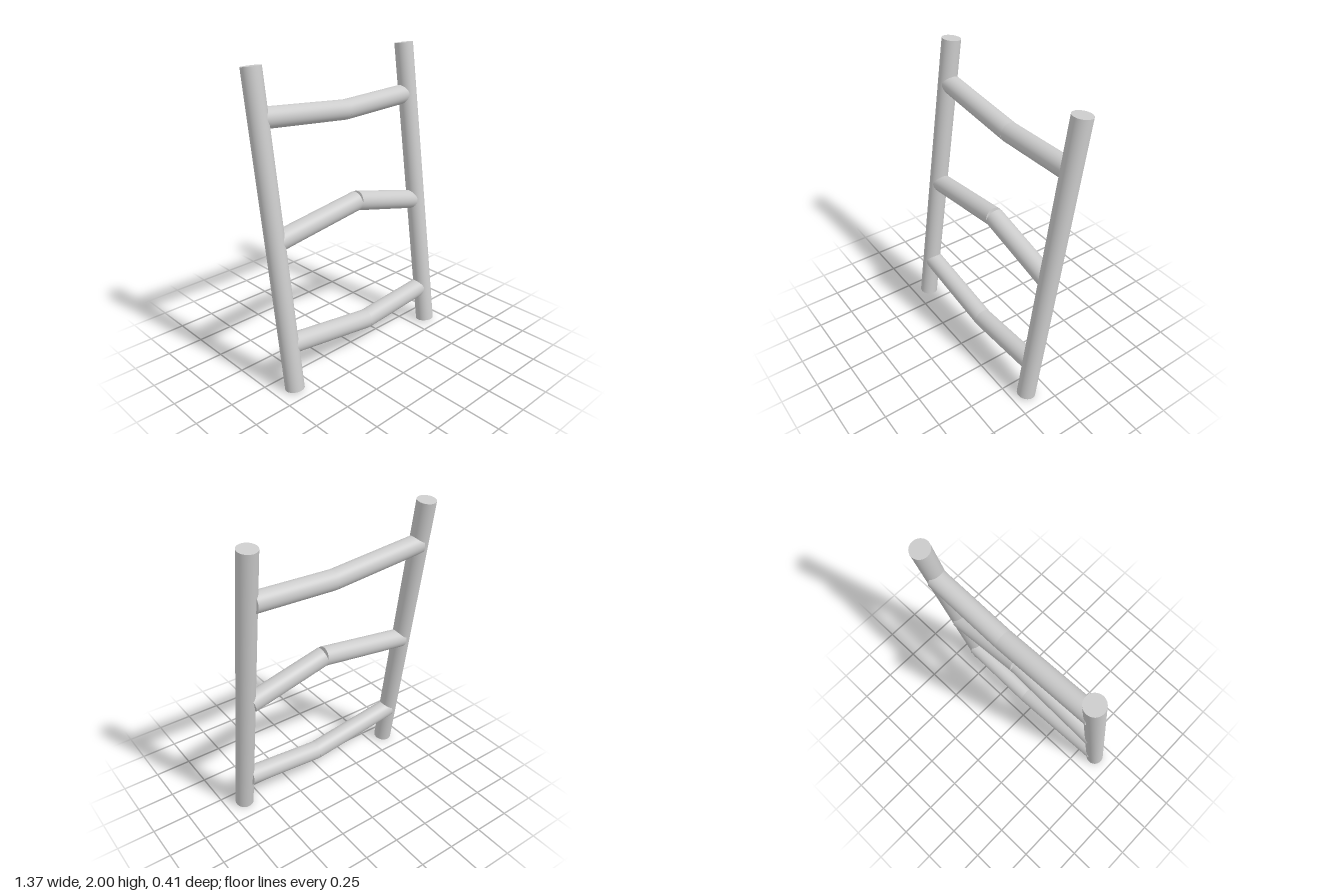
import * as THREE from 'three';

const material = new THREE.MeshStandardMaterial({ color: 0xcccccc });

// Round bar with flat ends between two points
function bar(name, a, b, radius) {
  const dir = b.clone().sub(a);
  const mesh = new THREE.Mesh(new THREE.CylinderGeometry(radius, radius, dir.length(), 48), material);
  mesh.name = name;
  mesh.position.copy(a).add(b).multiplyScalar(0.5);
  mesh.quaternion.setFromUnitVectors(new THREE.Vector3(0, 1, 0), dir.normalize());
  return mesh;
}

export function createModel() {
  const model = new THREE.Group();
  model.name = 'ladder';
  const V = (x, y, z) => new THREE.Vector3(x, y, z);

  // Leaning side rails
  for (const side of [-1, 1]) {
    const x = side * 0.621;
    model.add(bar(side > 0 ? 'leftRail' : 'rightRail', V(x, 0.009, 0.144), V(x, 1.991, -0.144), 0.062));
  }

  // Bent rungs, each made of two straight halves: heights at right end, bend and left end, then depth
  const rungs = [
    ['lowerRung', 0.306, 0.212, 0.257, 0.095],
    ['middleRung', 0.965, 1.055, 0.921, -0.001],
    ['upperRung', 1.7, 1.638, 1.655, -0.108],
  ];
  for (const [name, yRight, yBend, yLeft, z] of rungs) {
    const rung = new THREE.Group();
    rung.name = name;
    const bend = V(0.05, yBend, z);
    rung.add(bar('rightHalf', V(-0.612, yRight, z), bend, 0.064));
    rung.add(bar('leftHalf', bend, V(0.592, yLeft, z), 0.064));
    model.add(rung);
  }
  return model;
}
